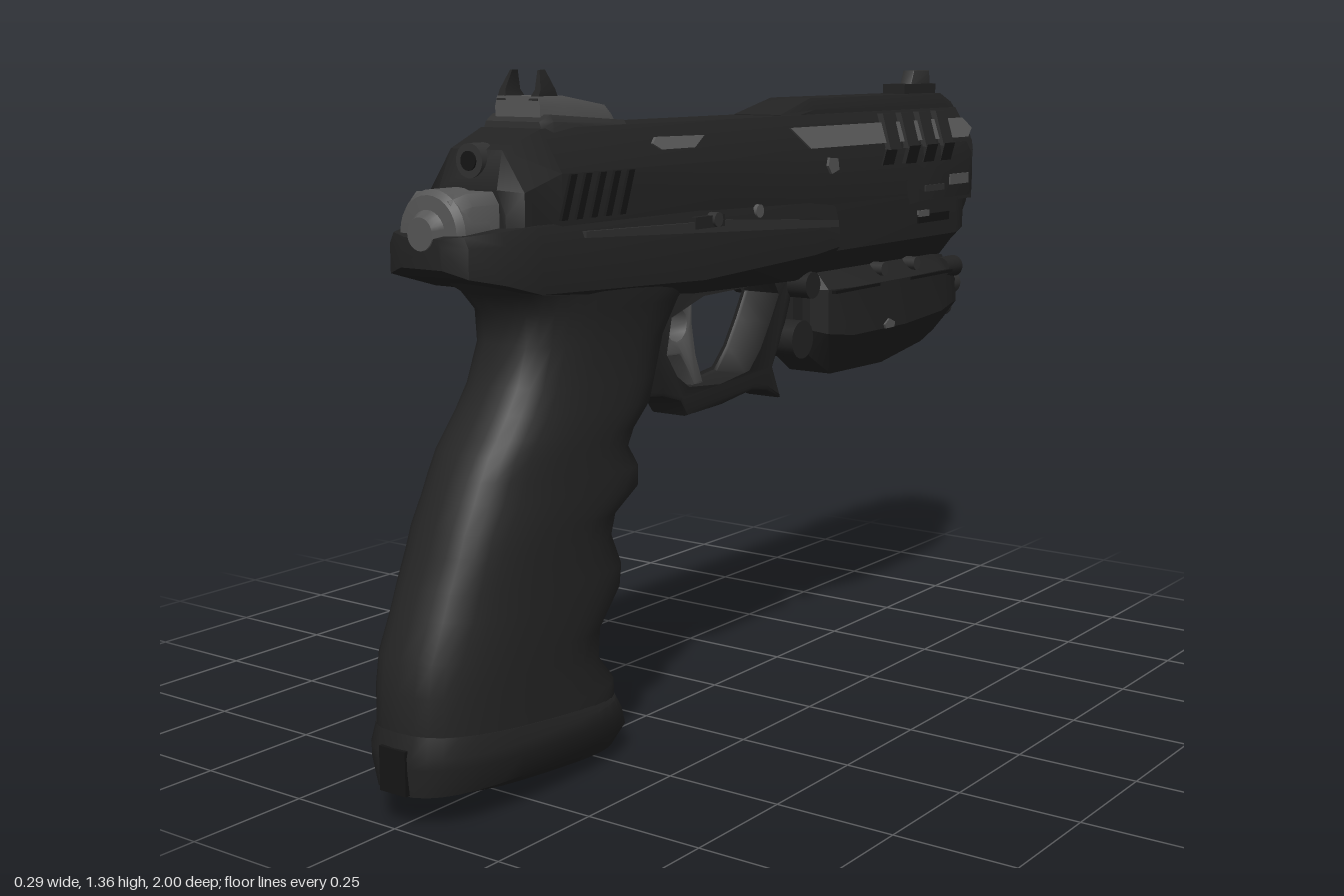
import * as THREE from 'three';
import { toCreasedNormals } from 'three/addons/utils/BufferGeometryUtils.js';

export function createModel() {
  const root = new THREE.Group();
  root.name = 'pistol';
  const flat = (name, color) => {
    const m = new THREE.MeshStandardMaterial({ color });
    m.name = name;
    return m;
  };
  const body = flat('blackBody', 0x232323);
  const grip = flat('blackGrip', 0x252525);
  const metal = flat('greyMetal', 0x565656);
  const dark = flat('darkRecess', 0x151515);
  const steel = flat('darkSteel', 0x313131);

  const add = (name, geo, mat, x = 0, y = 0, z = 0) => {
    const m = new THREE.Mesh(geo, mat);
    m.name = name;
    m.position.set(x, y, z);
    root.add(m);
    return m;
  };
  const box = (name, mat, w, h, d, x, y, z) => add(name, new THREE.BoxGeometry(w, h, d), mat, x, y, z);

  // Skin through rings of equal length, capped at both ends and facing outward
  function loft(rings, crease = 0.6) {
    const n = rings[0].length, pos = rings.flat(2), idx = [];
    for (let r = 0; r < rings.length - 1; r++) {
      for (let i = 0; i < n; i++) {
        const a = r * n + i, b = r * n + (i + 1) % n;
        idx.push(a, b, b + n, a, b + n, a + n);
      }
    }
    const last = (rings.length - 1) * n;
    for (let i = 1; i < n - 1; i++) idx.push(0, i + 1, i, last, last + i, last + i + 1);
    let volume = 0;
    const p = (k) => new THREE.Vector3().fromArray(pos, idx[k] * 3);
    for (let k = 0; k < idx.length; k += 3) volume += p(k).dot(p(k + 1).cross(p(k + 2)));
    if (volume < 0) idx.reverse();
    const g = new THREE.BufferGeometry();
    g.setAttribute('position', new THREE.Float32BufferAttribute(pos, 3));
    g.setIndex(idx);
    return toCreasedNormals(g, crease);
  }

  // Chamfered section across the gun: half width, bottom, shoulder, top half width, top, lower chamfer
  const sec = (z, hw, yb, ys, ht, yt, hb = hw, yl = yb + 0.001) => {
    const side = [[ht, yt], [hw, ys], [hw, yl], [hb, yb]];
    return [...side.map(([x, y]) => [x, y, z]), ...side.reverse().map(([x, y]) => [-x, y, z])];
  };
  const hull = (name, mat, rows, crease) => add(name, loft(rows.map((r) => sec(...r)), crease), mat);

  // Rounded ring between a back point and a front point, both given as z, y
  const oval = ([zb, yb, zf, yf, hw], pow = 0.72) => Array.from({ length: 32 }, (_, i) => {
    const a = i / 32 * Math.PI * 2, c = Math.cos(a), s = Math.sin(a);
    const t = (1 - Math.sign(c) * Math.abs(c) ** pow) / 2;
    return [hw * Math.sign(s) * Math.abs(s) ** pow, yb + (yf - yb) * t, zb + (zf - zb) * t];
  });

  // Side outline in z, y extruded across the gun
  function sideShape(name, mat, pts, hw, bevel = 0.01, hole) {
    const v = (q) => q.map(([z, y]) => new THREE.Vector2(z, y));
    const s = new THREE.Shape(v(pts));
    if (hole) s.holes.push(new THREE.Path(v(hole)));
    const depth = 2 * (hw - bevel);
    const g = new THREE.ExtrudeGeometry(s, {
      depth, bevelEnabled: bevel > 0, bevelSize: bevel, bevelOffset: -bevel, bevelThickness: bevel, bevelSegments: 2,
    });
    g.translate(0, 0, -depth / 2).rotateY(-Math.PI / 2);
    return add(name, toCreasedNormals(g, 0.7), mat);
  }

  // Thin mirrored plates that follow the slide's chamfered side, or a fixed x
  const slideX = (y) => (y <= 1.17 ? 0.122 : 0.122 - (y - 1.17) * 0.62);
  function plates(name, mat, pts, x = slideX, t = 0.006) {
    const at = typeof x === 'function' ? x : () => x;
    for (const s of [1, -1]) {
      add(name, loft([-0.004, t].map((o) => pts.map(([z, y]) => [s * (at(y) + o), y, z])), 0.3), mat);
    }
  }
  const rect = (z0, z1, y0, y1, skew = 0) => [[z0, y0], [z1, y0], [z1 - skew, y1], [z0 - skew, y1]];

  const rod = (name, mat, r, len, axis, x, y, z, sides = 20) => {
    const g = new THREE.CylinderGeometry(r, r, len, sides);
    if (axis === 'x') g.rotateZ(Math.PI / 2);
    if (axis === 'z') g.rotateX(Math.PI / 2);
    return add(name, g, mat, x, y, z);
  };

  // Grip with finger grooves: back z, y, front z, y, half width
  add('grip', loft([
    [0.985, 0.14, 0.43, 0.12, 0.128], [0.99, 0.18, 0.43, 0.155, 0.128], [0.985, 0.25, 0.48, 0.21, 0.128],
    [0.975, 0.31, 0.475, 0.27, 0.128], [0.945, 0.38, 0.41, 0.34, 0.128], [0.925, 0.43, 0.405, 0.385, 0.128],
    [0.895, 0.49, 0.44, 0.45, 0.128], [0.88, 0.53, 0.425, 0.495, 0.128], [0.855, 0.58, 0.35, 0.535, 0.128],
    [0.835, 0.62, 0.35, 0.575, 0.127], [0.81, 0.66, 0.385, 0.62, 0.126], [0.785, 0.69, 0.365, 0.655, 0.125],
    [0.755, 0.73, 0.31, 0.70, 0.123], [0.725, 0.775, 0.29, 0.75, 0.12], [0.697, 0.85, 0.26, 0.83, 0.117],
    [0.70, 0.91, 0.21, 0.90, 0.124], [0.74, 0.95, 0.16, 0.94, 0.131], [0.81, 0.985, 0.14, 0.98, 0.132],
    [0.88, 1.02, 0.14, 1.02, 0.13]].map((r) => oval(r)), 0.9), grip);

  // Magazine base
  add('magazineBase', loft([
    [0.80, 0.015, 0.45, 0, 0.045], [0.93, 0.05, 0.41, 0.005, 0.09], [0.995, 0.065, 0.385, 0.05, 0.12],
    [1.0, 0.12, 0.41, 0.09, 0.137], [1.0, 0.14, 0.43, 0.12, 0.137], [0.99, 0.18, 0.44, 0.125, 0.129],
  ].map((r) => oval(r)), 0.6), body);
  box('baseLatch', dark, 0.064, 0.085, 0.012, 0, 0.11, 0.996);

  // Frame with rear tang
  hull('frame', body, [
    [0.895, 0.05, 1.01, 1.05, 0.04, 1.065], [0.875, 0.095, 0.995, 1.05, 0.085, 1.07],
    [0.81, 0.127, 0.98, 1.05, 0.115, 1.075], [0.72, 0.133, 0.955, 1.05, 0.12, 1.08],
    [0.22, 0.134, 0.905, 1.04, 0.12, 1.08, 0.1, 0.935], [-0.19, 0.134, 0.89, 1.02, 0.12, 1.07, 0.08, 0.95],
    [-0.29, 0.134, 0.9, 1.0, 0.12, 1.06, 0.08, 0.96],
  ]);
  hull('dustCover', body, [
    [-0.28, 0.124, 0.9, 1.04, 0.118, 1.08, 0.08, 0.95], [-0.84, 0.124, 0.895, 1.04, 0.118, 1.08, 0.08, 0.95],
    [-0.89, 0.115, 0.92, 1.04, 0.11, 1.08, 0.075, 0.96], [-0.9, 0.11, 1.0, 1.04, 0.105, 1.08],
    [-0.955, 0.09, 1.02, 1.04, 0.08, 1.08],
  ]);
  plates('frameRail', steel, [[0.6, 1.05], [0.12, 1.035], [-0.28, 1.005], [-0.28, 1.02], [0.12, 1.05], [0.6, 1.062]], 0.131);
  plates('frameSlot', dark, rect(-0.65, -0.8, 0.985, 1.005), 0.122);
  plates('frameInlay', metal, rect(-0.65, -0.7, 1.0, 1.015), 0.123);

  // Slide with sloped rear
  hull('slide', body, [
    [0.77, 0.09, 1.05, 1.1, 0.07, 1.145], [0.745, 0.114, 1.05, 1.14, 0.062, 1.215],
    [0.65, 0.122, 1.05, 1.17, 0.073, 1.25], [-0.16, 0.122, 1.05, 1.17, 0.073, 1.25],
    [-0.6, 0.122, 1.03, 1.17, 0.073, 1.25], [-0.92, 0.122, 1.03, 1.17, 0.073, 1.25],
    [-0.95, 0.1, 1.04, 1.15, 0.06, 1.23],
  ]);
  hull('topRib', body, [
    [-0.16, 0.07, 1.2, 1.24, 0.06, 1.252], [-0.29, 0.066, 1.2, 1.26, 0.052, 1.285],
    [-0.88, 0.066, 1.2, 1.26, 0.052, 1.285], [-0.94, 0.064, 1.2, 1.24, 0.05, 1.262],
  ]);
  hull('frontShroud', body, [
    [-0.6, 0.12, 1.03, 1.14, 0.12, 1.17], [-0.66, 0.137, 1.04, 1.14, 0.125, 1.17],
    [-0.88, 0.137, 1.04, 1.14, 0.125, 1.17], [-0.93, 0.118, 1.05, 1.14, 0.11, 1.17],
  ]);
  plates('ventStrip', metal, [[-0.15, 1.225], [-0.19, 1.18], [-0.9, 1.18], [-0.94, 1.2], [-0.92, 1.225]]);
  plates('slideInlay', metal, [[0.35, 1.212], [0.33, 1.2], [0.22, 1.2], [0.17, 1.222], [0.33, 1.224]]);
  for (let i = 0; i < 4; i++) {
    const z = -0.5 - i * 0.083;
    plates('ventSlat', body, rect(z, z - 0.05, 1.165, 1.245, 0.04), slideX, 0.016);
    plates('ventSlatFoot', dark, rect(z + 0.015, z - 0.035, 1.13, 1.17, 0.02), i ? 0.132 : 0.12);
  }
  plates('shroudInlay', metal, rect(-0.78, -0.87, 1.07, 1.095), 0.135);
  plates('shroudSlot', steel, rect(-0.66, -0.75, 1.06, 1.075), 0.135);
  for (let i = 0; i < 5; i++) {
    const z = 0.66 - i * 0.043;
    plates('gripSerration', dark, rect(z, z - 0.018, 1.085, 1.168, 0.03));
  }
  plates('sideBadge', metal, [[-0.25, 1.14], [-0.255, 1.158], [-0.29, 1.155], [-0.295, 1.13], [-0.265, 1.122]]);

  // Slide controls and pins
  rod('sidePin', metal, 0.014, 0.262, 'x', 0, 1.06, 0.02);
  for (const s of [1, -1]) {
    box('slideRelease', body, 0.016, 0.024, 0.1, s * 0.132, 1.052, 0.21);
    rod('releaseButton', steel, 0.015, 0.02, 'x', s * 0.136, 1.055, 0.19);
  }

  // Rear plug and firing knob
  hull('rearBlock', metal, [
    [0.74, 0.075, 1.06, 1.12, 0.06, 1.142], [0.84, 0.075, 1.06, 1.12, 0.06, 1.142], [0.87, 0.06, 1.06, 1.11, 0.045, 1.13],
  ]);
  const plug = [[0, 0], [0.03, 0], [0.036, -0.012], [0.042, -0.02], [0.068, -0.022], [0.078, -0.035], [0.078, -0.1]];
  const plugGeo = new THREE.LatheGeometry(plug.map(([r, y]) => new THREE.Vector2(r, y)).reverse(), 28);
  add('rearPlug', toCreasedNormals(plugGeo.rotateX(Math.PI / 2), 0.6), metal, 0, 1.072, 0.897);
  rod('rearKnob', steel, 0.032, 0.04, 'z', 0, 1.195, 0.745);
  rod('rearKnobCore', dark, 0.018, 0.045, 'z', 0, 1.195, 0.746);

  // Barrel with open bore
  const barrel = [[0.045, 0.3], [0.045, 0.01], [0.055, 0], [0.078, 0], [0.086, 0.008], [0.086, 0.055], [0.07, 0.06], [0.07, 0.3]];
  const barrelGeo = new THREE.LatheGeometry(barrel.map(([r, y]) => new THREE.Vector2(r, y)), 28);
  const barrelMat = body;
  const bMesh = add('barrel', toCreasedNormals(barrelGeo.rotateX(Math.PI / 2), 0.6), barrelMat, 0, 1.142, -1);
  bMesh.material.side = THREE.DoubleSide;
  rod('boreEnd', dark, 0.046, 0.02, 'z', 0, 1.142, -0.94);
  for (const x of [-0.02, 0.02]) box('boreFin', metal, 0.01, 0.07, 0.03, x, 1.142, -0.965);

  // Sights
  hull('rearSightBase', steel, [
    [0.645, 0.07, 1.235, 1.25, 0.065, 1.262], [0.62, 0.078, 1.235, 1.262, 0.07, 1.275], [0.38, 0.06, 1.235, 1.25, 0.055, 1.258],
  ]);
  hull('rearSight', metal, [
    [0.63, 0.055, 1.25, 1.29, 0.05, 1.308], [0.56, 0.055, 1.25, 1.29, 0.05, 1.308],
    [0.43, 0.052, 1.25, 1.275, 0.046, 1.288], [0.4, 0.045, 1.25, 1.26, 0.04, 1.268],
  ]);
  for (const s of [1, -1]) {
    add('rearSightHorn', loft([
      [0.632, 0.57, 0.028, 0.05, 1.3], [0.622, 0.58, 0.036, 0.05, 1.32], [0.608, 0.592, 0.031, 0.036, 1.356],
    ].map(([z0, z1, x0, x1, y]) => [[s * x0, y, z0], [s * x1, y, z0], [s * x1, y, z1], [s * x0, y, z1]])), body);
  }
  sideShape('frontSight', steel, [[-0.77, 1.28], [-0.8, 1.305], [-0.815, 1.34], [-0.89, 1.34], [-0.895, 1.28]], 0.016, 0.003);
  box('frontSightBase', body, 0.06, 0.03, 0.15, 0, 1.293, -0.82);

  // Trigger guard and trigger
  sideShape('triggerGuard', body, [
    [0.33, 0.70], [0.25, 0.69], [0.19, 0.672], [0.165, 0.638], [0.04, 0.643], [-0.075, 0.658], [-0.13, 0.65], [-0.187, 0.626],
    [-0.155, 0.70], [-0.2, 0.78], [-0.225, 0.84], [-0.24, 0.93], [0.33, 0.93],
  ], 0.05, 0.01, [
    [0.25, 0.775], [0.21, 0.72], [0.165, 0.69], [0.05, 0.68], [-0.064, 0.695], [-0.11, 0.74], [-0.15, 0.80],
    [-0.185, 0.86], [-0.16, 0.9], [0.11, 0.895], [0.23, 0.86],
  ]);
  const pivot = Array.from({ length: 12 }, (_, i) => [0.175 + 0.034 * Math.cos(i * Math.PI / 6), 0.83 + 0.034 * Math.sin(i * Math.PI / 6)]);
  sideShape('trigger', metal, [
    [0.23, 0.91], [0.12, 0.91], [0.122, 0.83], [0.108, 0.76], [0.082, 0.695], [0.115, 0.695], [0.14, 0.735], [0.165, 0.765], [0.245, 0.77],
  ], 0.03, 0.006, pivot);

  // Under-barrel light module
  hull('lightModule', body, [
    [-0.27, 0.07, 0.74, 0.86, 0.05, 0.885, 0.05, 0.77], [-0.3, 0.1, 0.705, 0.86, 0.07, 0.895, 0.05, 0.76],
    [-0.38, 0.118, 0.655, 0.86, 0.08, 0.9, 0.055, 0.75], [-0.61, 0.12, 0.652, 0.86, 0.08, 0.9, 0.055, 0.75],
    [-0.8, 0.112, 0.68, 0.86, 0.08, 0.9, 0.055, 0.76], [-0.87, 0.1, 0.7, 0.85, 0.07, 0.89, 0.05, 0.77],
    [-0.92, 0.085, 0.725, 0.82, 0.06, 0.84, 0.05, 0.77],
  ], 0.4);
  plates('moduleBadge', metal, [[-0.51, 0.76], [-0.53, 0.772], [-0.555, 0.762], [-0.553, 0.75], [-0.515, 0.75]], 0.118);
  plates('moduleSeam', dark, rect(-0.3, -0.84, 0.852, 0.859), 0.113);
  for (const z of [-0.52, -0.67]) rod('moduleScrew', steel, 0.016, 0.23, 'x', 0, 0.888, z);
  for (const s of [1, -1]) {
    rod('lampUpper', steel, 0.03, 0.1, 'z', s * 0.06, 0.815, -0.885);
    rod('lampLower', steel, 0.024, 0.08, 'z', s * 0.045, 0.755, -0.89);
    rod('lampOuter', body, 0.026, 0.07, 'z', s * 0.085, 0.86, -0.87);
  }
  rod('lampCentre', metal, 0.03, 0.1, 'z', 0, 0.83, -0.89);

  // Module mount
  rod('mountRoller', body, 0.043, 0.16, 'x', 0, 0.755, -0.225);
  rod('mountPin', body, 0.03, 0.2, 'x', 0, 0.877, -0.235);
  box('mountBlock', body, 0.1, 0.12, 0.07, 0, 0.83, -0.265);

  return root;
}
